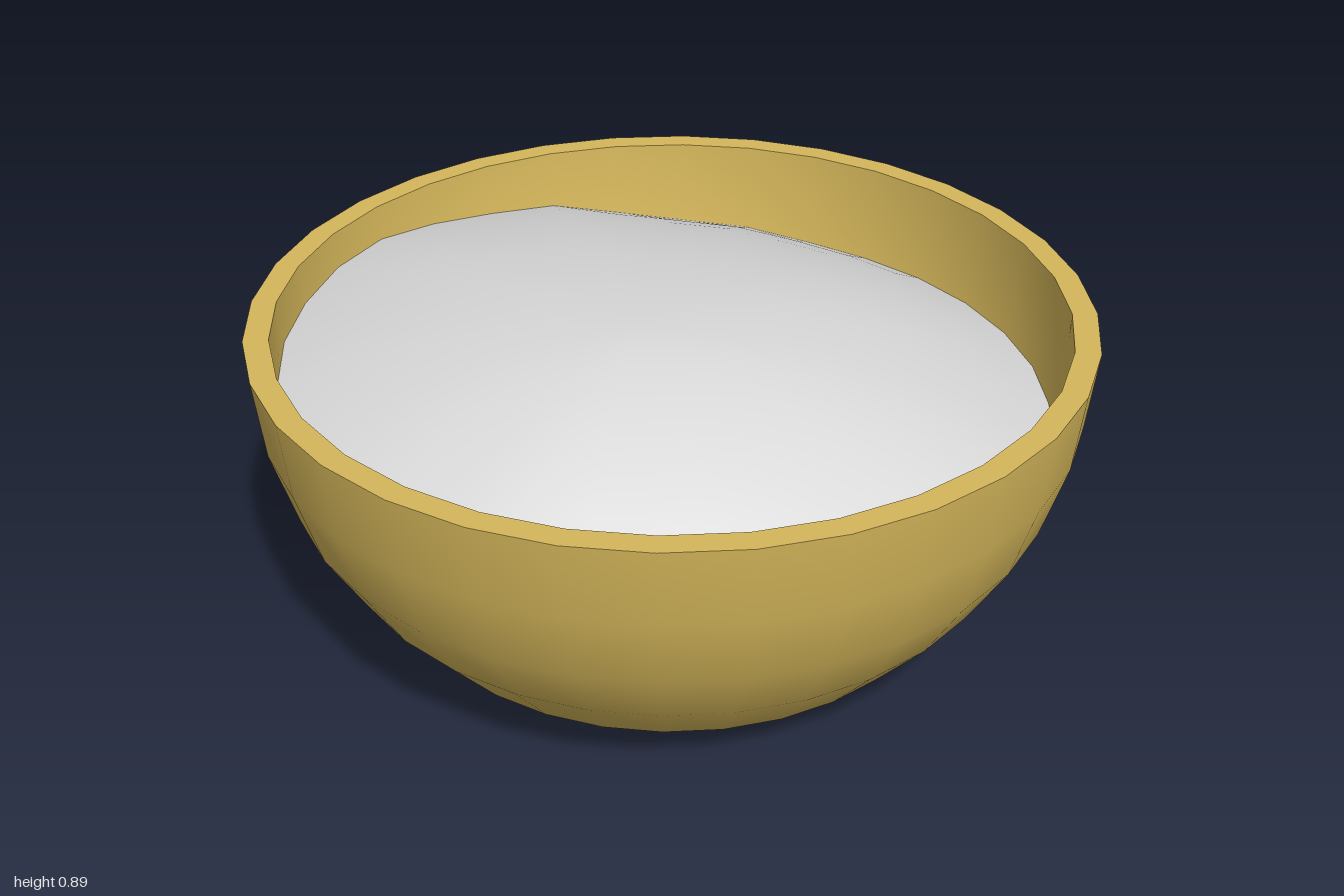
import * as THREE from 'three';

const SIDES = 32;
const TOP = 0.836;

// Profiles as [radius, height]
const outerProfile = [[0.547, 0], [0.70, 0.128], [0.83, 0.284], [0.925, 0.45], [0.98, 0.64], [1, TOP]];
const innerProfile = [[0.94, TOP], [0.926, 0.64], [0.87, 0.46], [0.78, 0.3], [0.64, 0.16], [0.48, 0.06], [0, 0.05]];

// How far the filling's edge lies below the rim, every 30 degrees from +x towards +z
const edgeDrops = [0.25, 0.23, 0.25, 0.26, 0.18, 0.14, 0.11, 0.09, 0.14, 0.22, 0.25, 0.25];
const peak = new THREE.Vector3(-0.08, 0.889, 0.19);

function edgeDrop(angle) {
  const n = edgeDrops.length;
  const s = (((angle / (2 * Math.PI)) % 1) + 1) % 1 * n;
  const i = Math.floor(s);
  const f = THREE.MathUtils.smoothstep(s - i, 0, 1);
  return THREE.MathUtils.lerp(edgeDrops[i % n], edgeDrops[(i + 1) % n], f);
}

function innerRadius(y) {
  for (let i = 1; i < innerProfile.length; i++) {
    const [r0, y0] = innerProfile[i - 1];
    const [r1, y1] = innerProfile[i];
    if (y >= y1) return r0 + (r1 - r0) * (y0 - y) / (y0 - y1);
  }
  return 0;
}

// Uneven mound: rings spread from the off-centre peak to the wavy edge at the wall
function moundGeometry(rings = 10) {
  const positions = [];
  const indices = [];
  for (let i = 0; i <= rings; i++) {
    const t = i / rings;
    for (let j = 0; j < SIDES; j++) {
      const phi = j / SIDES * 2 * Math.PI;
      const x = Math.sin(phi), z = Math.cos(phi);
      const edgeY = TOP - edgeDrop(Math.atan2(z, x));
      const r = innerRadius(edgeY) + 0.004;
      positions.push(
        THREE.MathUtils.lerp(peak.x, x * r, t),
        THREE.MathUtils.lerp(peak.y, edgeY, t * t),
        THREE.MathUtils.lerp(peak.z, z * r, t)
      );
      if (i === rings) continue;
      const k = (j + 1) % SIDES;
      const a = i * SIDES + j, b = a + SIDES, c = (i + 1) * SIDES + k, d = i * SIDES + k;
      indices.push(a, b, c);
      if (i > 0) indices.push(a, c, d);
    }
  }
  const geometry = new THREE.BufferGeometry();
  geometry.setAttribute('position', new THREE.Float32BufferAttribute(positions, 3));
  geometry.setIndex(indices);
  geometry.computeVertexNormals();
  // The peak's copies share one upright normal
  for (let j = 0; j < SIDES; j++) geometry.attributes.normal.setXYZ(j, 0, 1, 0);
  return geometry;
}

export function createModel() {
  const model = new THREE.Group();
  model.name = 'filledBowl';

  const gold = new THREE.MeshStandardMaterial({ color: 0xd4b65a });
  gold.name = 'mustard gold';
  const white = new THREE.MeshStandardMaterial({ color: 0xd8d8d8 });
  white.name = 'pale grey';

  // Bowl: separate lathes keep the rim and base edges sharp
  const bowl = new THREE.Group();
  bowl.name = 'bowl';
  const shells = {
    bowlBase: [[0, 0], [0.547, 0]],
    bowlOutside: outerProfile,
    bowlRim: [[1, TOP], [0.94, TOP]],
    bowlInside: innerProfile
  };
  for (const [name, profile] of Object.entries(shells)) {
    const points = profile.map(([r, y]) => new THREE.Vector2(r, y));
    const mesh = new THREE.Mesh(new THREE.LatheGeometry(points, SIDES), gold);
    mesh.name = name;
    bowl.add(mesh);
  }
  model.add(bowl);

  // Filling
  const filling = new THREE.Mesh(moundGeometry(), white);
  filling.name = 'filling';
  model.add(filling);

  return model;
}
